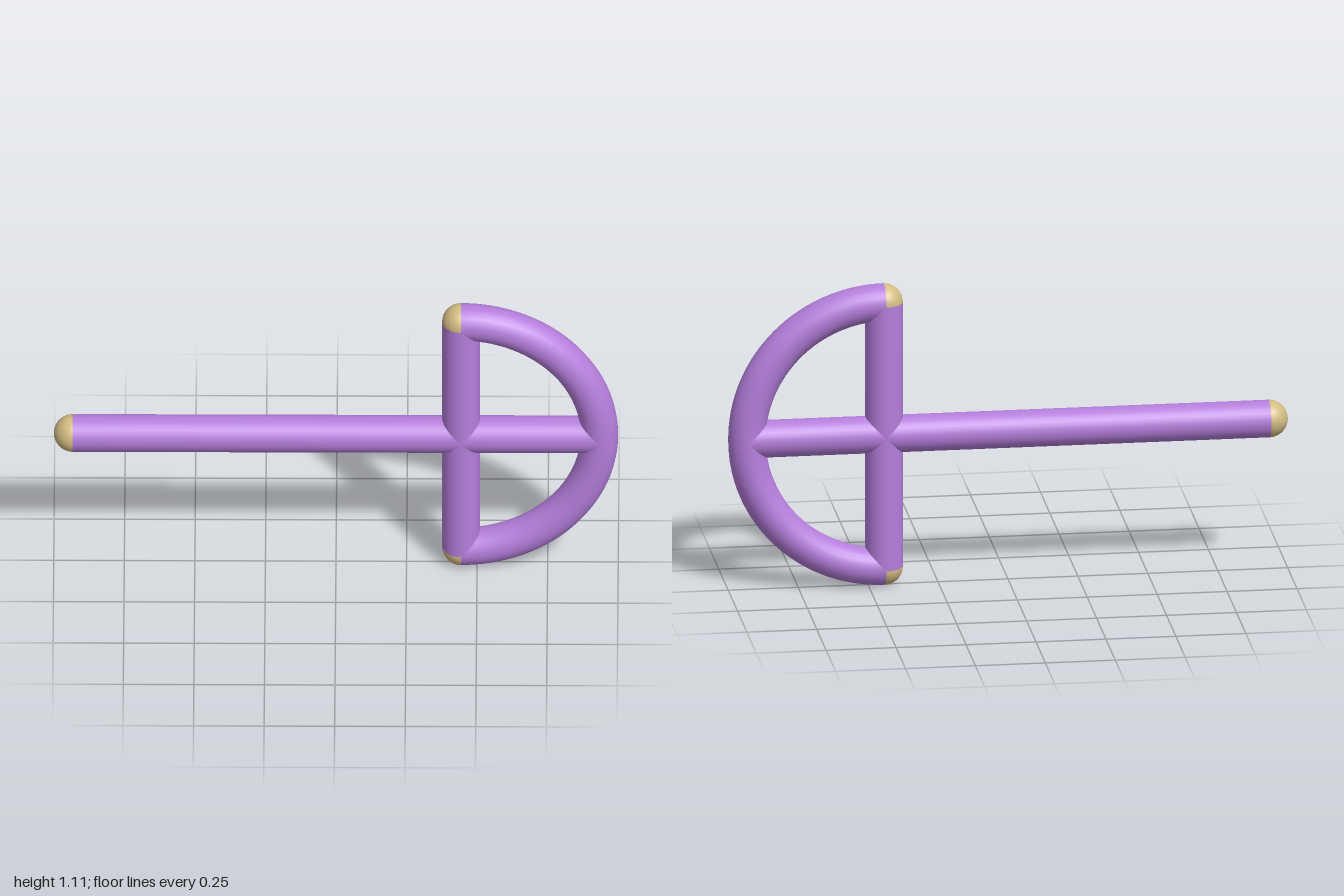
import * as THREE from 'three';

const R = 0.067;      // rod radius
const CY = 0.557;     // shaft height
const CX = 0.443;     // crossbar position
const RING = 0.49;    // bow centreline radius

export function createModel() {
  const group = new THREE.Group();
  const purple = new THREE.MeshStandardMaterial({ color: 0xb57edc });
  purple.name = 'purple';
  const gold = new THREE.MeshStandardMaterial({ color: 0xd2bc82 });
  gold.name = 'gold';

  function add(name, geometry, material, x, y) {
    const mesh = new THREE.Mesh(geometry, material);
    mesh.name = name;
    mesh.position.set(x, y, 0);
    group.add(mesh);
    return mesh;
  }
  // Part of a sphere on its -x side, between two polar angles
  const cap = (start, length) =>
    new THREE.SphereGeometry(R, 24, 16, -Math.PI / 2, Math.PI, start, length);

  // Long horizontal shaft, ending inside the bow
  const left = -1 + R, right = CX + RING;
  add('shaft', new THREE.CylinderGeometry(R, R, right - left, 32), purple, (left + right) / 2, CY)
    .rotation.z = Math.PI / 2;

  // Upright crossbar
  add('crossbar', new THREE.CylinderGeometry(R, R, RING * 2, 32), purple, CX, CY);

  // Half-round bow
  add('bow', new THREE.TorusGeometry(RING, R, 24, 64, Math.PI), purple, CX, CY)
    .rotation.z = -Math.PI / 2;

  // Rounded end and corner caps
  add('shaftCap', cap(0, Math.PI), gold, left, CY);
  add('topCornerCap', cap(0, Math.PI / 2), gold, CX, CY + RING);
  add('bottomCornerCap', cap(Math.PI / 2, Math.PI / 2), gold, CX, CY - RING);

  return group;
}
